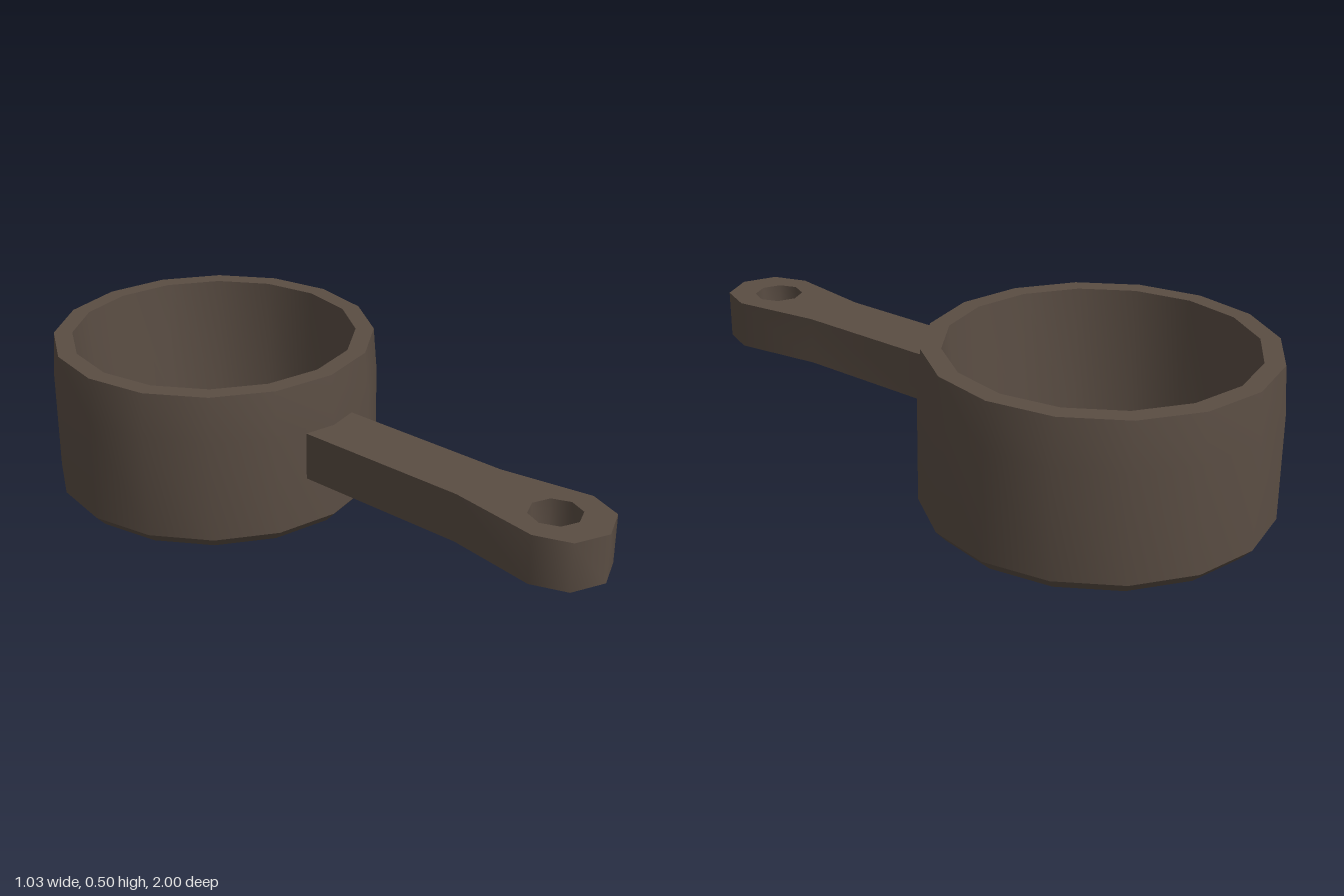
import * as THREE from 'three';
import { toCreasedNormals } from 'three/addons/utils/BufferGeometryUtils.js';

const v = (x, y) => new THREE.Vector2(x, y);

export function createModel() {
  const group = new THREE.Group();
  group.name = 'measuringCup';
  const brown = new THREE.MeshStandardMaterial({ color: 0x5a4d43 });
  brown.name = 'dark brown';

  // Sixteen-sided cup: base, bevel, outer wall, rim, tapered inner wall, floor
  const profile = [
    v(0, 0), v(0.485, 0), v(0.517, 0.035), v(0.516, 0.36), v(0.505, 0.5),
    v(0.447, 0.5), v(0.422, 0.05), v(0, 0.05),
  ];
  const cupGeometry = toCreasedNormals(new THREE.LatheGeometry(profile, 16), 0.6);
  const cup = new THREE.Mesh(cupGeometry, brown);
  cup.name = 'cup';
  cup.position.z = -0.484;
  group.add(cup);

  // Flat handle flaring toward the end, drawn in plan (x, z)
  const outline = new THREE.Shape([
    v(-0.1, -0.01), v(0.1, -0.01), v(0.11, 0.57), v(0.158, 0.85),
    v(0.117, 0.955), v(0.014, 1), v(-0.09, 0.957), v(-0.13, 0.85), v(-0.09, 0.57),
  ]);

  // Octagonal hanging hole
  const hole = [];
  for (let i = 0; i < 8; i++) {
    const a = -i * Math.PI / 4;
    hole.push(v(0.012 + 0.077 * Math.cos(a), 0.827 + 0.077 * Math.sin(a)));
  }
  outline.holes.push(new THREE.Path(hole));

  const handleGeometry = new THREE.ExtrudeGeometry(outline, { depth: 0.15, bevelEnabled: false });
  handleGeometry.rotateX(Math.PI / 2).translate(0, 0.34, 0);
  const handle = new THREE.Mesh(toCreasedNormals(handleGeometry, 0.87), brown);
  handle.name = 'handle';
  group.add(handle);

  return group;
}
